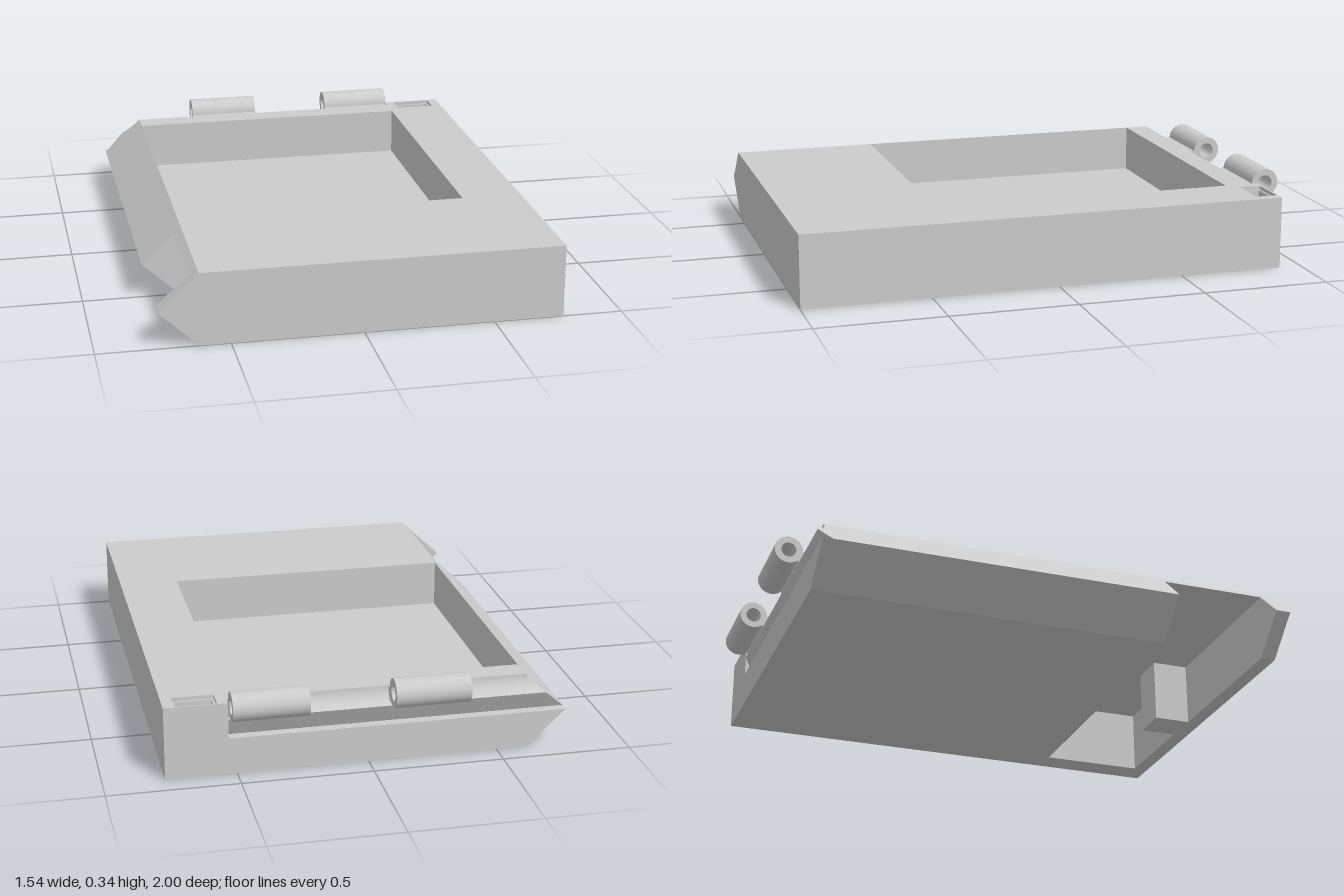
import * as THREE from 'three';
import { toCreasedNormals } from 'three/addons/utils/BufferGeometryUtils.js';

const H = 0.285, MID = H / 2;      // body height, height of the pointed edge
const L = -0.77, R = 0.77, B = -0.615; // pointed edge, right wall, bevel start
const FLOOR = 0.095, CEIL = 0.258;

export function createModel() {
  const group = new THREE.Group();
  const material = new THREE.MeshStandardMaterial({ color: 0xcccccc });

  const add = (name, geometry) => {
    const mesh = new THREE.Mesh(toCreasedNormals(geometry, 0.5), material);
    mesh.name = name;
    group.add(mesh);
  };
  const poly = (pts) => new THREE.Shape(pts.map(([x, y]) => new THREE.Vector2(x, y)));
  const rect = (x0, x1, y0, y1) => poly([[x0, y0], [x1, y0], [x1, y1], [x0, y1]]);
  const extrude = (shape, depth) =>
    new THREE.ExtrudeGeometry(shape, { depth, bevelEnabled: false, curveSegments: 24 });
  // Shape in (x, y), swept along z
  const alongZ = (shape, z0, z1) => extrude(shape, z1 - z0).translate(0, 0, z0);
  // Shape in (-z, y), swept along x
  const alongX = (shape, x0, x1) => extrude(shape, x1 - x0).rotateY(Math.PI / 2).translate(x0, 0, 0);
  // Shape in (x, -z), swept along y
  const alongY = (shape, y0, y1) => extrude(shape, y1 - y0).rotateX(-Math.PI / 2).translate(0, y0, 0);

  // Body cross-sections from front to back
  const full = () => poly([[L, MID], [B, 0], [R, 0], [R, H], [B, H]]);
  add('frontWall', alongZ(full(), 0.94, 1));
  add('bayShell', alongZ(poly([[0.66, 0], [R, 0], [R, H], [B, H], [-0.645, CEIL], [0.66, CEIL]]), 0.52, 0.94));
  add('bayDivider', alongZ(full(), 0.42, 0.52));
  add('recessTray', alongZ(poly([
    [L, MID], [B, 0], [R, 0], [R, H], [0.53, H], [0.53, FLOOR], [B, FLOOR], [B, H],
  ]), -0.775, 0.42));
  add('recessBackWall', alongZ(full(), -0.8, -0.775));

  // Post inside the bay that is open underneath
  add('bayPost', alongZ(rect(0.08, 0.23, 0, CEIL), 0.79, 0.94));

  // Back edge, with its left end pulled onto the pointed bevel
  const bevelEnd = (geometry) => {
    const p = geometry.attributes.position;
    for (let i = 0; i < p.count; i++) {
      if (p.getX(i) < 0) p.setX(i, L + (B - L) * Math.abs(p.getY(i) - MID) / MID);
    }
    return geometry;
  };
  add('backLowerEdge', bevelEnd(alongX(rect(0.8, 0.91, 0, MID), L, 0.53)));
  const lip = new THREE.Shape();
  lip.moveTo(0.8, MID);
  lip.lineTo(0.87, MID);
  lip.lineTo(0.91, 0.219);
  lip.absarc(0.945, H, 0.075, 4.227, Math.PI, true);
  lip.lineTo(0.8, H);
  lip.closePath();
  add('hingeGroove', bevelEnd(alongX(lip, L, 0.53)));

  // Back right corner with a stepped pocket
  const corner = (x0, x1, z0, z1) => {
    const shape = rect(0.53, R, 0.8, 0.91);
    shape.holes.push(rect(x0, x1, z0, z1));
    return shape;
  };
  add('cornerBase', alongY(rect(0.53, R, 0.8, 0.91), 0, 0.225));
  add('pocketLower', alongY(corner(0.58, 0.72, 0.83, 0.897), 0.225, 0.27));
  add('pocketRim', alongY(corner(0.57, 0.73, 0.82, 0.905), 0.27, H));

  // Hinge barrels and the lugs joining them to the groove
  for (const x of [-0.37, 0.24]) {
    const ring = new THREE.Shape().absarc(0.945, H, 0.056, 0, Math.PI * 2);
    ring.holes.push(new THREE.Path().absarc(0.945, H, 0.03, 0, Math.PI * 2, true));
    add('hingeBarrel', alongX(ring, x, x + 0.287));
    add('hingeLug', alongX(rect(0.865, 0.905, 0.225, H), x, x + 0.287));
  }
  return group;
}
